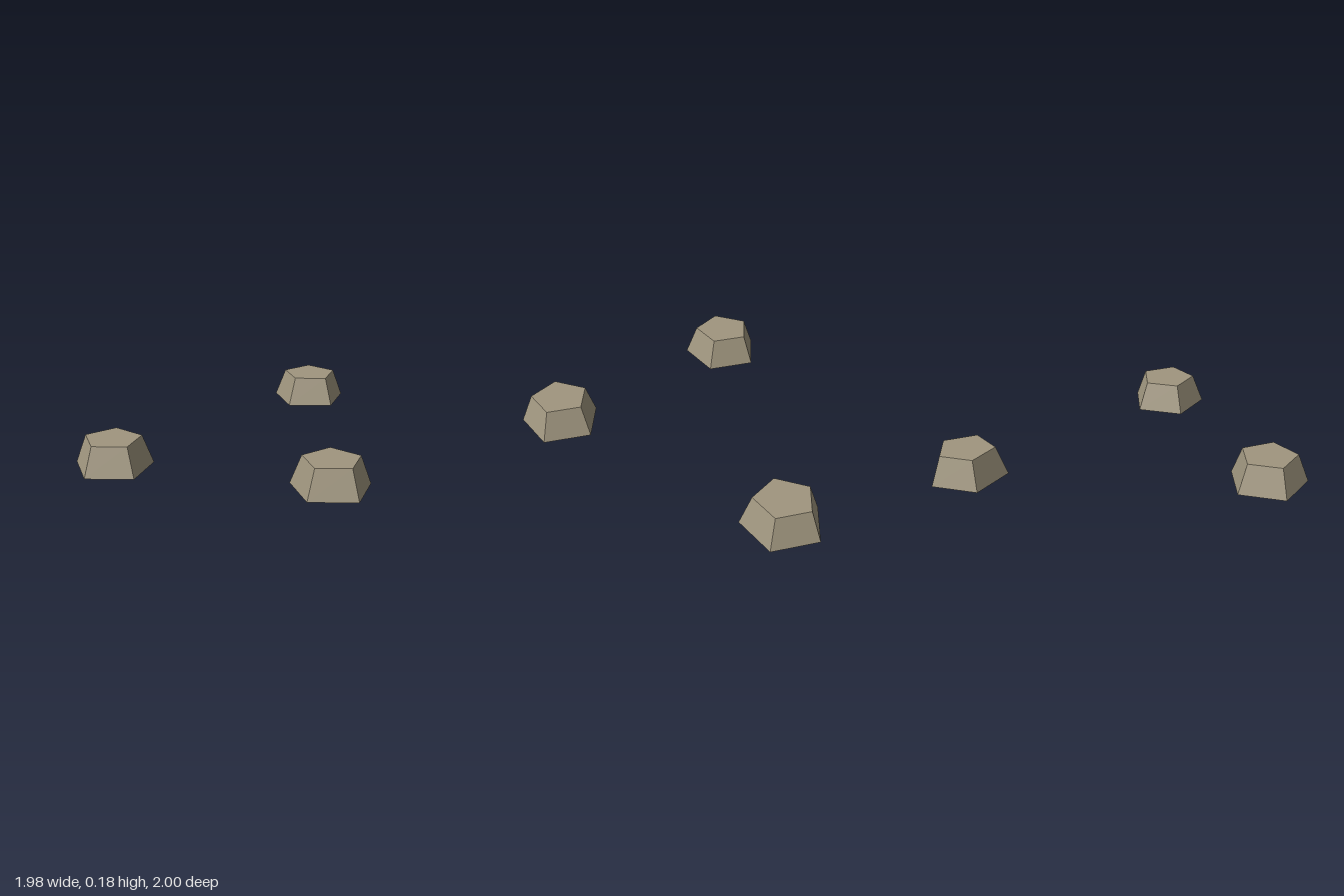
import * as THREE from 'three';
import { mergeGeometries } from 'three/addons/utils/BufferGeometryUtils.js';

const HEIGHT = 0.177, BASE_RADIUS = 0.241, TOP_RADIUS = 0.174, SIDES = 5;

// Five-sided tapered shell, closed on top and open underneath
function stoneGeometry() {
  const walls = new THREE.CylinderGeometry(TOP_RADIUS, BASE_RADIUS, HEIGHT, SIDES, 1, true, Math.PI / 2);
  walls.translate(0, HEIGHT / 2, 0);
  const cap = new THREE.CircleGeometry(TOP_RADIUS, SIDES);
  cap.rotateX(-Math.PI / 2);
  cap.translate(0, HEIGHT, 0);
  return mergeGeometries([walls, cap]);
}

export function createModel() {
  const group = new THREE.Group();
  group.name = 'stones';
  const stone = new THREE.MeshStandardMaterial({ color: 0xa0967f, flatShading: true, side: THREE.DoubleSide });
  stone.name = 'stone';

  // Three identical stones scattered on the ground
  const geometry = stoneGeometry();
  const places = { leftBackStone: [0.745, -0.771], middleFrontStone: [0.305, 0.771], rightStone: [-0.795, 0.108] };
  for (const [name, [x, z]] of Object.entries(places)) {
    const mesh = new THREE.Mesh(geometry, stone);
    mesh.name = name;
    mesh.position.set(x, 0, z);
    group.add(mesh);
  }
  return group;
}
